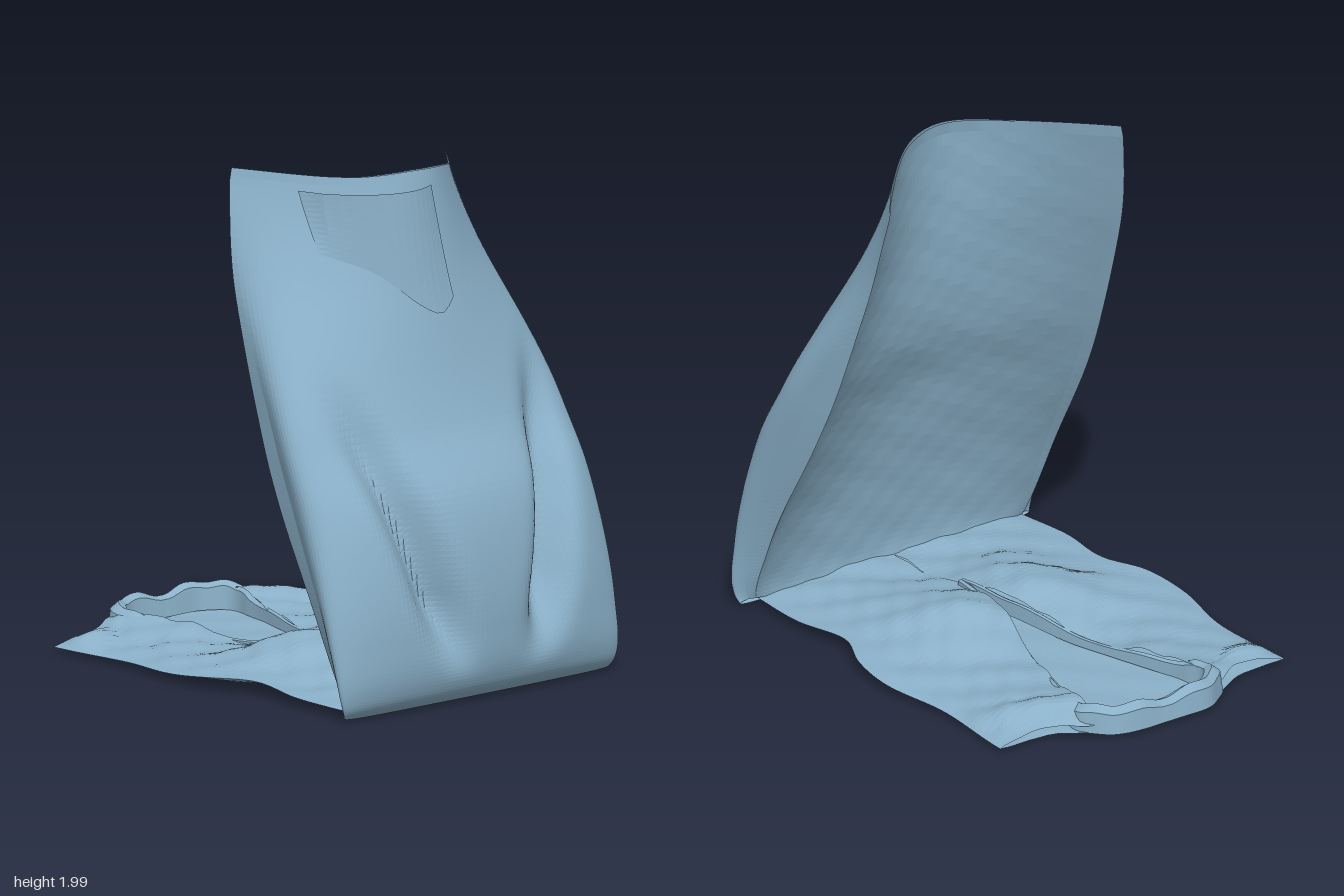
import * as THREE from 'three';

const { smoothstep, lerp } = THREE.MathUtils;

// Smooth interpolation through a few knots
function curve(keys, values) {
  const c = new THREE.CubicInterpolant(keys, values, 1, new Float32Array(1));
  return (t) => c.evaluate(Math.min(Math.max(t, keys[0]), keys[keys.length - 1]))[0];
}

// Soft repeatable wrinkles
const wrinkle = (a, b) =>
  Math.sin(a * 7 + b * 4 + 1) * 0.5 + Math.sin(a * 13 - b * 17) * 0.3 + Math.sin(a * 29 + b * 23 + 2) * 0.2;

const cloth = new THREE.MeshStandardMaterial({ color: 0x8ab0c8, flatShading: true, side: THREE.DoubleSide });

// Cloth surface from a rule f(i, j) -> [x, y, z], with i and j in 0..1
function sheet(name, nu, nv, f) {
  const pos = [], index = [];
  for (let j = 0; j <= nv; j++)
    for (let i = 0; i <= nu; i++) pos.push(...f(i / nu, j / nv));
  for (let j = 0; j < nv; j++)
    for (let i = 0; i < nu; i++) {
      const a = j * (nu + 1) + i, b = a + 1, c = a + nu + 1, d = c + 1;
      index.push(a, b, d, a, d, c);
    }
  const g = new THREE.BufferGeometry();
  g.setAttribute('position', new THREE.Float32BufferAttribute(pos, 3));
  g.setIndex(index);
  g.computeVertexNormals();
  const mesh = new THREE.Mesh(g, cloth);
  mesh.name = name;
  return mesh;
}

// Upright part: half width, sideways shift, depth of middle and of rear side edges, by height
const halfWidth = curve([0, 0.06, 0.25, 0.8, 1.2, 1.6, 2], [0.66, 0.69, 0.71, 0.7, 0.665, 0.605, 0.535]);
const shift = curve([0, 0.3, 1, 2], [0.01, -0.005, 0.01, 0.035]);
const midZ = curve([0.01, 0.04, 0.1, 0.3, 0.6, 0.8, 1.05, 1.5, 2], [0.84, 0.89, 0.93, 0.96, 0.94, 0.885, 0.74, 0.59, 0.475]);
const edgeZ = curve([0.01, 0.1, 0.2, 0.4, 0.8, 1, 1.4, 1.6, 1.95], [0.82, 0.79, 0.75, 0.66, 0.43, 0.33, 0.17, 0.1, 0.02]);
const topY = curve([-1, -0.5, 0, 0.35, 0.7, 1], [2, 1.975, 1.985, 1.965, 1.92, 1.91]);
// how far the flatter back cloth follows the bulge of the front
const backFollow = curve([0, 0.1, 0.4, 0.8, 1.1, 1.5, 1.95], [0.1, 0.15, 0.32, 0.5, 0.62, 0.8, 0.97]);
// fullness of the sides, fading toward the top
const fullness = (y) => 1 - smoothstep(y, 1, 1.95);
const bulge = (u, power) => Math.pow(Math.max(Math.cos(u * Math.PI / 2), 0), power);

// Width fraction across the front: overhangs, then tucks in to the rear edge
const spread = (u, y) => (1 + 0.35 * fullness(y)) * u - 0.43 * fullness(y) * u ** 7;

function frontZ(u, y) {
  const f = bulge(u, lerp(1, 0.45, fullness(y)));
  // two valleys that spread apart as they rise
  const s = spread(u, y);
  const valley = s > 0 ? 0.31 + 0.36 * y : 0.16 + 0.47 * y;
  const depth = (s > 0 ? 0.15 : 0.12) * smoothstep(y, 0.1, 0.45) * (1 - smoothstep(y, 0.7, 1.35));
  const dip = depth * Math.exp(-(((Math.abs(s) - valley) / 0.13) ** 2));
  return edgeZ(y) + (midZ(y) - edgeZ(y)) * f - dip * (1 - u ** 6);
}

// Lying garment: outline, neck opening, loft and height of the side seam
const outerX = curve([-0.95, -0.8, -0.4, -0.1, 0.1, 0.27, 0.55, 0.84], [0.66, 0.67, 0.65, 0.7, 0.68, 0.61, 0.64, 0.62]);
const shoulderZ = curve([0, 0.15, 0.3, 0.45, 0.68], [-0.95, -0.94, -0.88, -0.79, -0.79]);
const neckX = curve([-0.95, -0.83, -0.4, 0.05, 0.35], [0.29, 0.28, 0.17, 0.045, 0]);
const loft = curve([-0.95, -0.7, -0.5, -0.2, -0.1, 0.1, 0.4, 0.6, 0.84], [0.07, 0.095, 0.065, 0.06, 0.1, 0.16, 0.1, 0.05, 0.05]);
const seamY = curve([-0.95, -0.5, -0.1, 0.2, 0.5, 0.84], [0.03, 0.03, 0.045, 0.065, 0.05, 0.035]);

export function createModel() {
  const model = new THREE.Group();
  model.name = 'foldedVest';

  // Upright part: bulging front cloth and flatter back cloth, joined at the rear edges
  model.add(sheet('uprightFront', 84, 84, (i, j) => {
    const u = i * 2 - 1;
    const low = 0.012 + 0.03 * u ** 8;
    const y = low + (topY(u) - low) * Math.pow(j, 1.4);
    return [shift(y) + spread(u, y) * halfWidth(y), y, frontZ(u, y)];
  }));
  model.add(sheet('uprightBack', 48, 50, (i, j) => {
    const u = i * 2 - 1;
    const y = 0.042 + (topY(u) - 0.042) * Math.pow(j, 1.3);
    const depth = (midZ(y) - edgeZ(y)) * backFollow(y) * bulge(u, lerp(1, 0.65, fullness(y)));
    const tuck = 0.045 * Math.exp(-y / 0.08);
    const z = edgeZ(y) + depth - (tuck - 0.003 * wrinkle(u, y * 2)) * (1 - u ** 8);
    return [shift(y) + u * halfWidth(y) * (1 - 0.08 * fullness(y)), y, z];
  }));

  // Loose pocket flap, gaping at its top edge
  const pocketBottom = curve([-0.36, -0.2, -0.05, 0.05, 0.12], [1.7, 1.62, 1.49, 1.45, 1.5]);
  model.add(sheet('pocket', 14, 12, (i, j) => {
    const x = -0.36 + 0.48 * i - 0.035 * Math.pow(i, 4) * j;
    const low = pocketBottom(x);
    const y = low + (1.925 - low) * j;
    const u = (x - shift(y)) / halfWidth(y) / (1 + 0.35 * fullness(y));
    return [x, y, frontZ(u, y) + 0.006 + j * (0.008 + 0.08 * Math.sin(Math.PI * Math.sqrt(i)))];
  }));

  // Underside lying on the ground, lifting to the side seams
  model.add(sheet('backLayer', 36, 44, (i, j) => {
    const u = i * 2 - 1;
    const end = shoulderZ(Math.abs(u) * 0.67);
    const z = 0.84 + (end - 0.84) * j;
    const ground = 0.022 + 0.008 * wrinkle(u, z);
    return [u * outerX(z), lerp(ground, seamY(z), u ** 8), z];
  }));

  for (const side of [1, -1]) {
    const label = side > 0 ? 'left' : 'right';

    // Front half, from the neck opening out to the side seam
    model.add(sheet(label + 'Front', 26, 56, (i, j) => {
      const end = shoulderZ(0.28 + 0.39 * i);
      const z = 0.83 + (end - 0.83) * j;
      const inner = neckX(z);
      const x = inner + (outerX(z) - inner) * i;
      // puff beside the tip of the opening, flattening toward the seam
      const puff = (loft(z) - 0.05) * Math.exp(-(((x - 0.2) / 0.24) ** 2));
      const fold = Math.max(0, Math.sin(x * 9 - z * 14 + side)) * lerp(0.035, 0.006, smoothstep(z, -0.65, -0.4));
      const hem = 1 - 0.4 * smoothstep(j, 0.95, 1);
      const top = 0.028 + hem * (0.03 + puff + fold + 0.014 * wrinkle(x * side * 1.4, z * 1.5));
      return [side * x, lerp(top, seamY(z), i ** 6), z];
    }));

    // Collar running up the opening and round the back of the neck
    const path = new THREE.CatmullRomCurve3([
      [0, 0.36], [0.045, 0.05], [0.17, -0.4], [0.26, -0.7], [0.28, -0.82], [0.19, -0.9], [0, -0.91],
    ].map(([x, z]) => new THREE.Vector3(x, 0, z)));
    // each section point: outward offset, base share, rise share
    const section = [[0.055, 0.55, 0], [0.045, 1, 0.7], [0.015, 1, 1], [-0.012, 1, 0.8], [-0.02, 0.55, 0]];
    model.add(sheet(label + 'Collar', 4, 60, (i, j) => {
      const p = path.getPoint(j), t = path.getTangent(j);
      const [out, foot, rise] = section[Math.round(i * 4)];
      const k = smoothstep(j, 0.3, 0.7);
      const width = 0.35 + 0.65 * k + 0.25 * k * Math.sin(j * 40 + side) * (1 - j);
      const base = 0.045 + 0.05 * smoothstep(p.z, -0.25, 0.1) * (1 - k);
      const height = base * foot + rise * (0.02 + 0.065 * k * (1 - 0.35 * smoothstep(j, 0.9, 1))) + 0.005 * Math.sin(j * 37) * rise;
      return [
        side * (j === 1 ? 0 : Math.max(0, p.x - t.z * out * width)),
        height,
        p.z + t.x * out * width,
      ];
    }));
  }

  return model;
}
